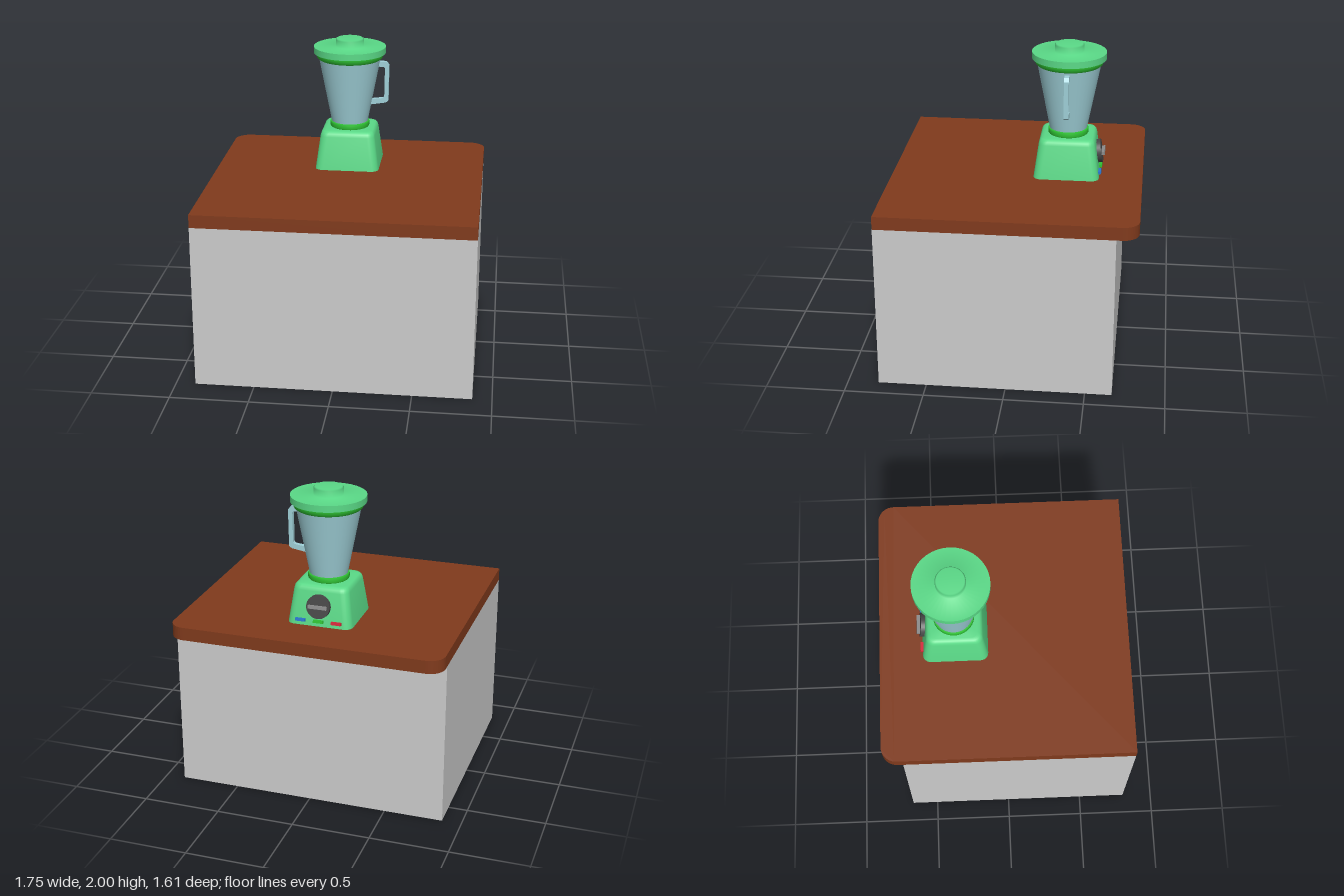
import * as THREE from 'three';
import { toCreasedNormals } from 'three/addons/utils/BufferGeometryUtils.js';

const CX = -0.018, CZ = -0.316; // axis of the blender
const mat = (color) => new THREE.MeshStandardMaterial({ color });

function add(parent, name, geometry, material, x = 0, y = 0, z = 0) {
  const mesh = new THREE.Mesh(geometry, material);
  mesh.name = name;
  mesh.position.set(x, y, z);
  parent.add(mesh);
  return mesh;
}

// Turned part; profile runs from bottom to top
const turned = (points) =>
  new THREE.LatheGeometry(points.map(([r, y]) => new THREE.Vector2(r, y)), 40);

// Tapered block lofted through rounded-square rings [y, half width, corner radius]
function roundedLoft(rings, steps = 6) {
  const pos = [], index = [], n = 4 * (steps + 1);
  for (const [y, half, r] of rings) {
    for (let c = 0; c < 4; c++) {
      const mid = (c + 0.5) * Math.PI / 2;
      for (let s = 0; s <= steps; s++) {
        const a = (c + s / steps) * Math.PI / 2;
        pos.push(Math.sign(Math.cos(mid)) * (half - r) + r * Math.cos(a), y,
          Math.sign(Math.sin(mid)) * (half - r) + r * Math.sin(a));
      }
    }
  }
  for (let k = 0; k < rings.length - 1; k++) {
    for (let i = 0; i < n; i++) {
      const a = k * n + i, b = k * n + (i + 1) % n;
      index.push(a, a + n, b, b, a + n, b + n);
    }
  }
  const g = new THREE.BufferGeometry();
  g.setAttribute('position', new THREE.Float32BufferAttribute(pos, 3));
  g.setIndex(index);
  return toCreasedNormals(g, 0.7);
}

export function createModel() {
  const model = new THREE.Group();
  const green = mat(0x5ad987), ringGreen = mat(0x2fc534), glass = mat(0x9fd0d8);
  const darkGrey = mat(0x484848), lightGrey = mat(0x8c8c8c);

  // Cabinet
  add(model, 'cabinet', new THREE.BoxGeometry(1.754, 1.066, 1.474), mat(0xcccccc), 0, 0.533, 0.068);

  // Worktop with two rounded back corners
  const w = 0.877, d = 0.805, r = 0.1;
  const top = new THREE.Shape();
  top.moveTo(-w, -d).lineTo(w, -d).lineTo(w, d - r);
  top.absarc(w - r, d - r, r, 0, Math.PI / 2);
  top.absarc(-w + r, d - r, r, Math.PI / 2, Math.PI);
  const topGeo = new THREE.ExtrudeGeometry(top, { depth: 0.084, bevelEnabled: false, curveSegments: 5 });
  topGeo.rotateX(-Math.PI / 2);
  add(model, 'worktop', topGeo, mat(0x803a1c), 0, 1.066, 0);

  const blender = new THREE.Group();
  blender.name = 'blender';
  blender.position.set(CX, 0, CZ);
  model.add(blender);

  // Motor base
  add(blender, 'motorBase', roundedLoft([
    [1.15, 0, 0], [1.15, 0.21, 0.05], [1.37, 0.18, 0.05], [1.39, 0.174, 0.05],
    [1.402, 0.163, 0.045], [1.406, 0.145, 0.04], [1.406, 0, 0],
  ]), green);

  // Jar and its rings
  add(blender, 'collar', turned([
    [0, 1.4], [0.122, 1.4], [0.13, 1.412], [0.13, 1.436], [0.126, 1.443], [0, 1.443],
  ]), ringGreen);
  add(blender, 'jar', turned([[0.12, 1.44], [0.203, 1.87]]), glass);
  add(blender, 'jarRing', turned([
    [0.19, 1.866], [0.205, 1.866], [0.214, 1.873], [0.222, 1.893], [0.222, 1.906],
  ]), ringGreen);

  // Lid: sharp rim, soft plateau and central cap
  const lid = new THREE.Group();
  lid.name = 'lid';
  blender.add(lid);
  add(lid, 'lidUnderside', turned([[0, 1.905], [0.237, 1.905]]), green);
  add(lid, 'lidRim', turned([[0.237, 1.905], [0.237, 1.947]]), green);
  add(lid, 'lidTop', turned([
    [0.237, 1.947], [0.093, 1.947], [0.093, 1.992], [0.085, 2], [0, 2],
  ]), green);

  // Handle cut from a flat bracket outline
  const h = new THREE.Shape([
    [0.18, 1.85], [0.242, 1.848], [0.261, 1.825], [0.257, 1.585], [0.24, 1.572], [0.135, 1.555],
    [0.145, 1.592], [0.222, 1.602], [0.23, 1.612], [0.233, 1.805], [0.225, 1.815], [0.18, 1.815],
  ].map(([x, y]) => new THREE.Vector2(x, y)));
  add(blender, 'handle', new THREE.ExtrudeGeometry(h, { depth: 0.03, bevelEnabled: false }), glass, 0, 0, -0.015);

  // Controls on the sloping back wall
  const controls = new THREE.Group();
  controls.name = 'controls';
  controls.position.set(0, 1.28, -0.192);
  controls.rotation.x = 0.135;
  blender.add(controls);
  const dial = new THREE.CylinderGeometry(0.076, 0.076, 0.035, 32).rotateX(Math.PI / 2);
  add(controls, 'dial', dial, darkGrey, 0, 0, -0.01);
  add(controls, 'dialGrip', new THREE.BoxGeometry(0.12, 0.02, 0.03), lightGrey, 0, 0, -0.033);
  [['redButton', 0xd8263a, -0.117], ['greenButton', 0x2fc534, 0], ['blueButton', 0x2a78d0, 0.117]]
    .forEach(([name, color, x]) =>
      add(controls, name, new THREE.BoxGeometry(0.064, 0.018, 0.03), mat(color), x, -0.097, -0.003));

  return model;
}
